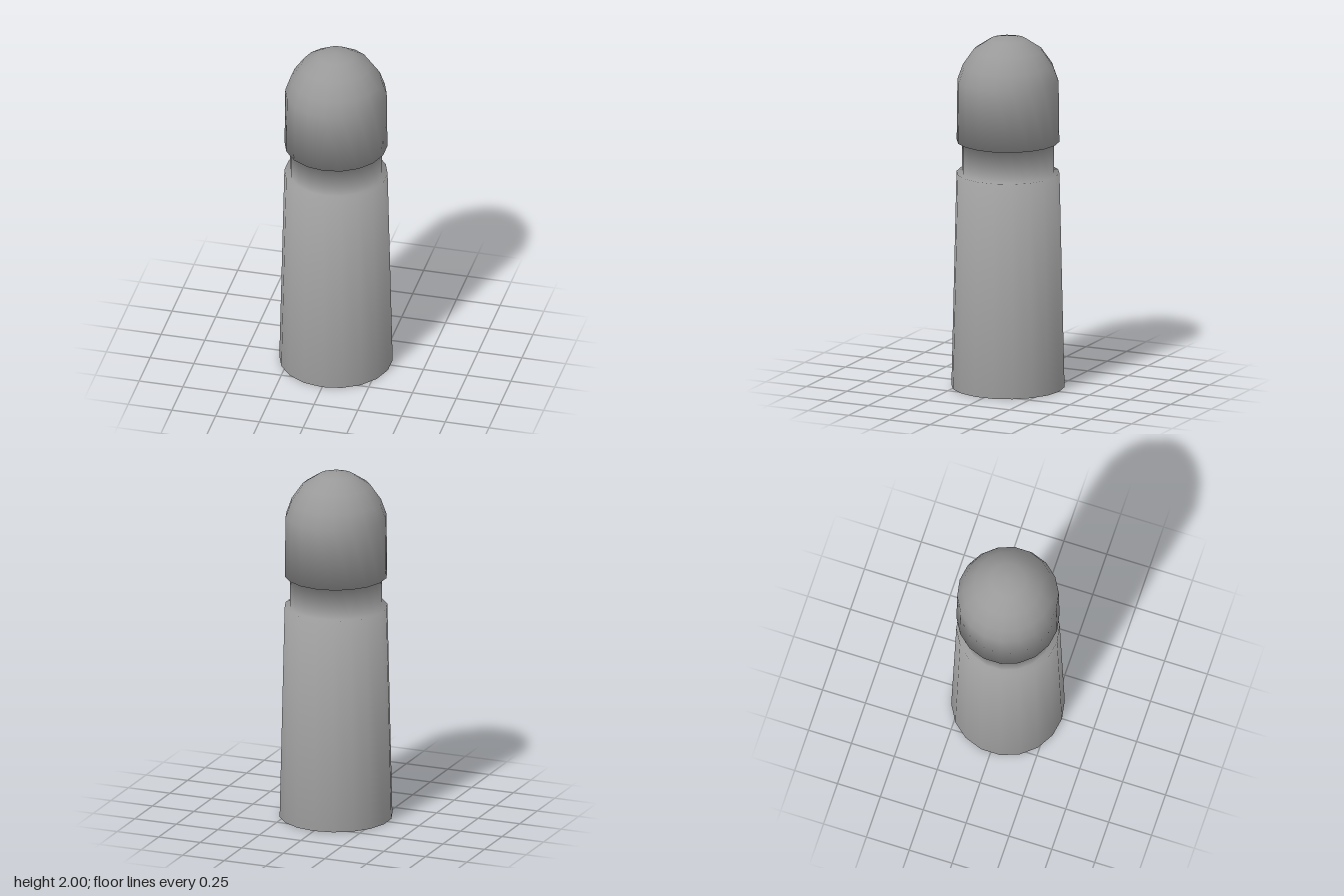
import * as THREE from 'three';

// Round post: tapered hollow shaft, recessed neck and domed head, open underneath.
const SIDES = 18;

// [radius, height] outlines, bottom to top
const shaft = [[0.315, 0], [0.287, 1.22]];
const neck = [[0.257, 1.22], [0.257, 1.4]];
const head = [
  [0.286, 1.4], [0.282, 1.745], [0.252, 1.83],
  [0.19, 1.92], [0.1, 1.98], [0, 2],
];

// Lathe whose rings average the directions of the bands below and above equally,
// so the shading rolls softly over the shoulder and the head rim
function softLathe(profile) {
  const geometry = new THREE.LatheGeometry(profile, SIDES);
  const bands = profile.slice(1).map((p, i) => {
    const d = p.clone().sub(profile[i]).normalize();
    return new THREE.Vector2(d.y, -d.x);
  });
  const rings = profile.map((p, i) => {
    if (p.x === 0) return new THREE.Vector2(0, 1);
    const below = bands[Math.max(i - 1, 0)];
    return below.clone().add(bands[i]).normalize();
  });
  const normal = geometry.attributes.normal;
  for (let k = 0; k < normal.count; k++) {
    const ring = rings[k % profile.length];
    const angle = (Math.floor(k / profile.length) / SIDES) * Math.PI * 2;
    normal.setXYZ(k, ring.x * Math.sin(angle), ring.y, ring.x * Math.cos(angle));
  }
  return geometry;
}

export function createModel() {
  const group = new THREE.Group();
  group.name = 'post';

  // One continuous skin for the shaft, neck and head
  const profile = [...shaft, ...neck, ...head].map(([r, y]) => new THREE.Vector2(r, y));
  const skin = new THREE.Mesh(
    softLathe(profile),
    new THREE.MeshStandardMaterial({ color: 0x999999, side: THREE.DoubleSide }),
  );
  skin.name = 'postShaftNeckAndHead';
  group.add(skin);

  return group;
}
